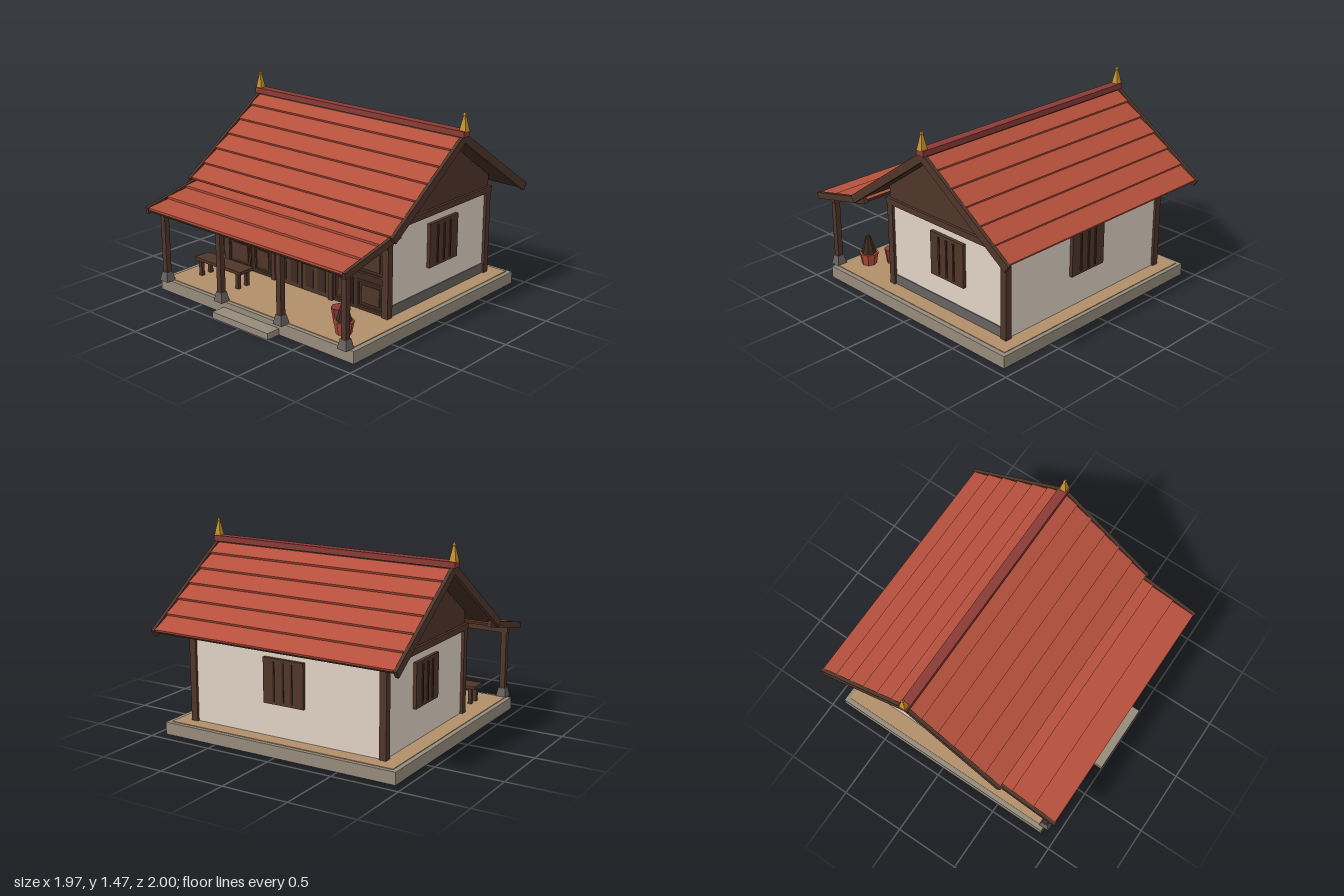
import * as THREE from 'three';

const mat = (name, color) => Object.assign(new THREE.MeshStandardMaterial({ color }), { name });
const M = {
  tile: mat('roofTile', 0xb5503c),
  ridge: mat('darkRed', 0x8a3a35),
  wood: mat('wood', 0x50362a),
  dark: mat('darkWood', 0x3e2a1f),
  wall: mat('plaster', 0xdfd3c3),
  stone: mat('stone', 0x968b7c),
  grey: mat('greyStone', 0x67625f),
  floor: mat('floorTan', 0xb08e69),
  gold: mat('gold', 0xc8932a),
  clay: mat('clay', 0xae4c38),
};

export function createModel() {
  const root = new THREE.Group();
  root.name = 'porchHouse';

  const add = (name, geo, m, x = 0, y = 0, z = 0) => {
    const mesh = new THREE.Mesh(geo, m);
    mesh.name = name;
    mesh.position.set(x, y, z);
    root.add(mesh);
    return mesh;
  };
  // Box given by its limits on each axis
  const box = (name, m, x0, x1, y0, y1, z0, z1) =>
    add(name, new THREE.BoxGeometry(x1 - x0, y1 - y0, z1 - z0), m, (x0 + x1) / 2, (y0 + y1) / 2, (z0 + z1) / 2);
  // Board whose top surface runs from point a to point b, each [z, y]
  const slope = (name, m, x, width, a, b, thick) => {
    const [p, q] = a[0] < b[0] ? [a, b] : [b, a];
    const dz = q[0] - p[0], dy = q[1] - p[1], len = Math.hypot(dz, dy);
    const mesh = add(name, new THREE.BoxGeometry(width, thick, len), m, x,
      (p[1] + q[1]) / 2 - (dz / len) * thick / 2, (p[0] + q[0]) / 2 + (dy / len) * thick / 2);
    mesh.rotation.x = -Math.atan2(dy, dz);
  };
  // Roof plane: deck, overlapping tile rows and edge boards
  const roofPlane = (name, top, eave, half, rows, thick) => {
    const dz = eave[0] - top[0], dy = eave[1] - top[1], len = Math.hypot(dz, dy);
    const n = [-dy * Math.sign(dz) / len, Math.abs(dz) / len];
    const at = (t, off) => [top[0] + dz * t + n[0] * off, top[1] + dy * t + n[1] * off];
    slope(name + 'Deck', M.dark, 0, half * 2, at(0, -0.02), at(0.975, -0.02), thick - 0.028);
    for (let i = 0; i < rows; i++) {
      const t0 = i / rows * 0.985, t1 = (i + 1) / rows * 0.985;
      slope(name + 'TileRow', M.tile, 0, half * 2, at(t0, -0.02), at(t1, -0.002), 0.019);
    }
    for (const s of [-1, 1]) slope(name + 'EdgeBoard', M.wood, s * (half + 0.012), 0.026, top, eave, thick);
  };

  // Base, floor and step
  box('base', M.stone, -0.935, 0.935, 0, 0.09, -0.92, 0.89);
  box('floor', M.floor, -0.9, 0.9, 0.085, 0.095, -0.89, 0.86);
  box('step', M.stone, -0.27, 0.27, 0, 0.047, 0.885, 1.0);

  // House walls, plinth, corner posts and top beams
  box('walls', M.wall, -0.775, 0.775, 0.09, 0.73, -0.78, 0.35);
  box('sidePlinth', M.grey, 0.77, 0.782, 0.095, 0.17, -0.75, 0.33);
  for (const x of [-0.77, 0.77]) {
    for (const z of [0.355, -0.7725])
      box('cornerPost', M.wood, x - 0.026, x + 0.026, 0.09, 0.73, z - 0.025, z + 0.025);
    box('sideTopBeam', M.wood, x - 0.03, x + 0.03, 0.72, 0.765, -0.805, 0.39);
  }
  box('backTopBeam', M.wood, -0.8, 0.8, 0.72, 0.765, -0.805, -0.75);
  box('frontTopBeam', M.wood, -0.8, 0.8, 0.72, 0.765, 0.33, 0.39);

  // Gable block under the roof
  const gable = new THREE.Shape();
  [[-0.365, 0.76], [0.785, 0.76], [0.785, 0.85], [0.205, 1.26], [-0.365, 0.858]]
    .forEach(([a, y], i) => (i ? gable.lineTo(a, y) : gable.moveTo(a, y)));
  const gableGeo = new THREE.ExtrudeGeometry(gable, { depth: 1.56, bevelEnabled: false });
  gableGeo.rotateY(Math.PI / 2).translate(-0.78, 0, 0);
  add('gable', gableGeo, M.wood);

  // Panelled front wall
  box('frontBoarding', M.dark, -0.775, 0.775, 0.095, 0.725, 0.345, 0.364);
  box('frontLintel', M.wood, -0.79, 0.79, 0.59, 0.64, 0.355, 0.385);
  box('frontUpperRail', M.wood, -0.79, 0.79, 0.645, 0.69, 0.355, 0.388);
  const panel = (x0, x1, y0, y1) => {
    const r = 0.012;
    box('panelFrame', M.wood, x0, x1, y0, y0 + r, 0.36, 0.374);
    box('panelFrame', M.wood, x0, x1, y1 - r, y1, 0.36, 0.374);
    box('panelFrame', M.wood, x0, x0 + r, y0, y1, 0.36, 0.374);
    box('panelFrame', M.wood, x1 - r, x1, y0, y1, 0.36, 0.374);
    box('panelCentre', M.wood, x0 + 0.035, x1 - 0.035, y0 + 0.035, y1 - 0.035, 0.36, 0.371);
  };
  for (const s of [-1, 1]) {
    for (const [a, b] of [[0.52, 0.75], [0.305, 0.48]])
      for (const [y0, y1] of [[0.12, 0.32], [0.37, 0.57]])
        panel(Math.min(s * a, s * b), Math.max(s * a, s * b), y0, y1);
    box('doorJamb', M.wood, s * 0.28 - 0.018, s * 0.28 + 0.018, 0.095, 0.6, 0.35, 0.385);
    // Door leaves with long panels and handles
    box('doorLeaf', M.wood, s * 0.133 - 0.129, s * 0.133 + 0.129, 0.1, 0.59, 0.355, 0.373);
    for (const x of [0.075, 0.19])
      for (const [y0, y1] of [[0.13, 0.33], [0.39, 0.56]])
        box('doorPanel', M.dark, s * x - 0.035, s * x + 0.035, y0, y1, 0.37, 0.378);
    box('doorHandle', M.gold, s * 0.026 - 0.01, s * 0.026 + 0.01, 0.37, 0.425, 0.37, 0.398);
  }

  // Barred windows on both sides and at the back
  for (const [x, z, turn] of [[0.785, -0.235, Math.PI / 2], [-0.785, -0.235, -Math.PI / 2], [0, -0.79, Math.PI]]) {
    const win = new THREE.Group();
    win.name = 'window';
    const part = (name, m, w, h, d, px, py, pz) => {
      const p = new THREE.Mesh(new THREE.BoxGeometry(w, h, d), m);
      p.name = name;
      p.position.set(px, py, pz);
      win.add(p);
    };
    part('shutter', M.wood, 0.324, 0.325, 0.03, 0, 0, 0);
    for (const bx of [-0.075, 0, 0.07]) part('windowBar', M.dark, 0.014, 0.28, 0.016, bx, 0, 0.014);
    win.position.set(x, 0.4975, z);
    win.rotation.y = turn;
    root.add(win);
  }

  // Porch posts on tapered stone feet, and the porch beam
  for (const x of [-0.865, -0.29, 0.29, 0.865]) {
    const foot = new THREE.CylinderGeometry(0.026 * Math.SQRT2, 0.04 * Math.SQRT2, 0.07, 4).rotateY(Math.PI / 4);
    add('postFoot', foot.toNonIndexed(), M.grey, x, 0.125, 0.89).geometry.computeVertexNormals();
    box('porchPost', M.wood, x - 0.021, x + 0.021, 0.155, 0.635, 0.869, 0.911);
  }
  box('porchBeam', M.wood, -0.895, 0.895, 0.592, 0.638, 0.865, 0.915);

  // Roofs
  roofPlane('frontRoof', [-0.205, 1.315], [0.56, 0.775], 0.95, 6, 0.058);
  roofPlane('backRoof', [-0.205, 1.315], [-0.995, 0.775], 0.95, 6, 0.058);
  roofPlane('porchRoof', [0.45, 0.785], [0.995, 0.66], 0.925, 3, 0.047);
  box('ridgeCap', M.ridge, -0.985, 0.985, 1.29, 1.332, -0.24, -0.17);

  // Gold spires at the ridge ends
  const spire = [[0, 0], [0.036, 0], [0.029, 0.03], [0.011, 0.1], [0.015, 0.108], [0, 0.138]]
    .map(([r, y]) => new THREE.Vector2(r, y));
  for (const x of [-0.962, 0.962]) {
    const g = new THREE.LatheGeometry(spire, 4).rotateY(Math.PI / 4).toNonIndexed();
    g.computeVertexNormals();
    add('spire', g, M.gold, x, 1.33, -0.205);
  }

  // Bench
  box('benchSeat', M.wood, -0.785, -0.31, 0.212, 0.235, 0.555, 0.69);
  for (const x of [-0.74, -0.355])
    for (const z of [0.58, 0.665])
      box('benchLeg', M.wood, x - 0.014, x + 0.014, 0.09, 0.215, z - 0.014, z + 0.014);

  // Clay pots, one with a tall cone
  const cone = (name, m, rTop, rBottom, y0, y1, x, z) => {
    const g = new THREE.CylinderGeometry(rTop, rBottom, y1 - y0, 8).toNonIndexed();
    g.computeVertexNormals();
    add(name, g, m, x, (y0 + y1) / 2, z);
  };
  cone('darkPot', M.ridge, 0.06, 0.042, 0.095, 0.207, 0.575, 0.618);
  cone('clayPot', M.clay, 0.072, 0.054, 0.095, 0.186, 0.71, 0.728);
  cone('potCone', M.dark, 0.015, 0.058, 0.18, 0.32, 0.71, 0.728);

  return root;
}
